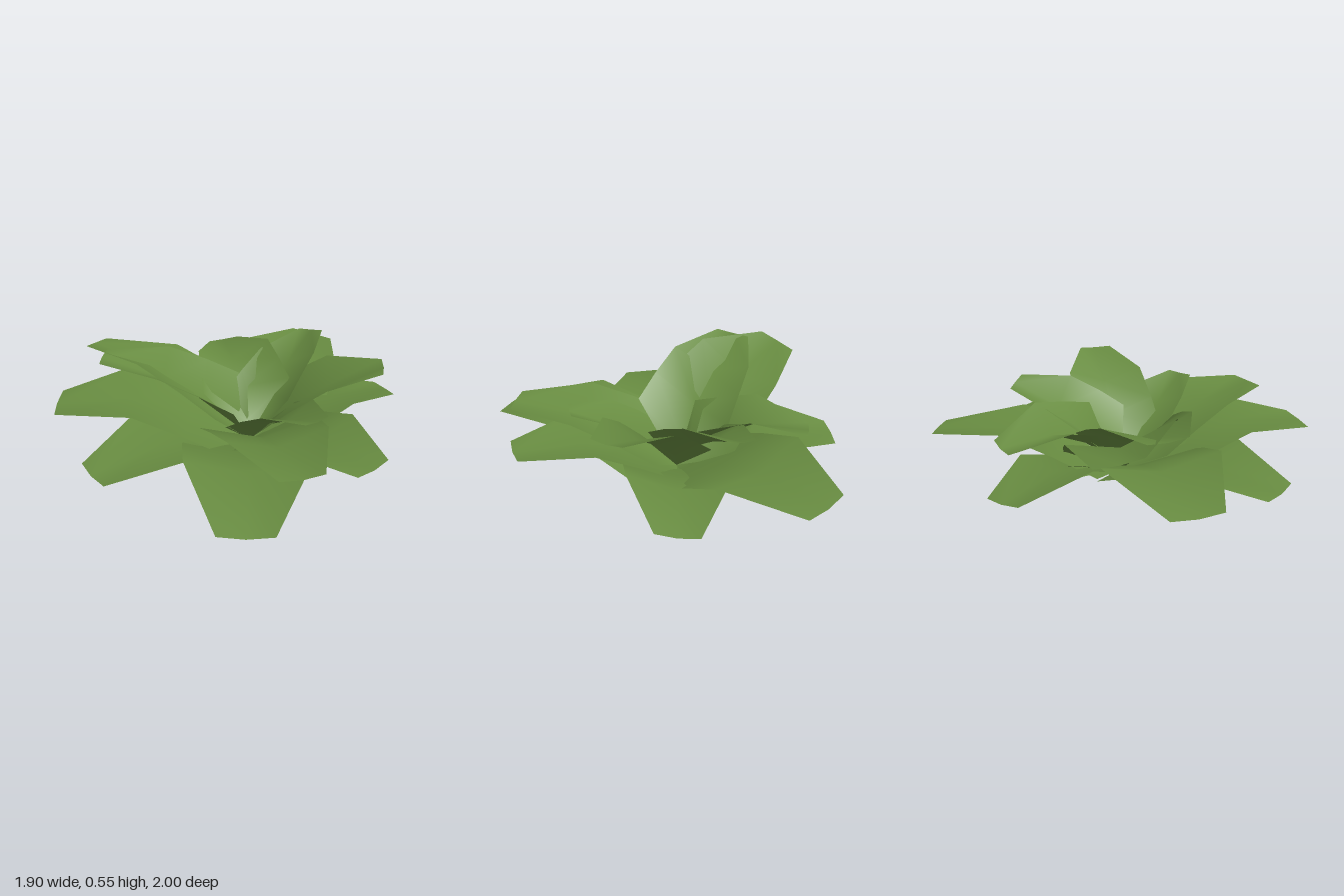
import * as THREE from 'three';

const material = new THREE.MeshStandardMaterial({ color: 0x688c41, side: THREE.DoubleSide });
const CENTRE = { x: -0.03, y: 0.015, z: -0.02 };

// Leaves: tip x, tip z, tip height, height at the middle, height of the base corners, sideways roll
const LEAVES = {
  outerLeaf: [
    [-0.59, -0.94, 0.235, 0.25, 0.09, -0.1],
    [0.16, -0.915, 0.155, 0.19, 0.06, 0.13],
    [0.9, -0.13, 0.275, 0.26, 0.11, 0],
    [-0.95, -0.08, 0.16, 0.2, 0.06, -0.12],
    [-0.66, 0.89, 0.27, 0.3, 0.13, 0],
    [-0.03, 0.995, 0.165, 0.2, 0.1, 0],
    [0.88, 0.65, 0.19, 0.24, 0.1, 0],
  ],
  middleLeaf: [
    [0.86, 0.3, 0.37, 0.31, 0.2, 0],
    [-0.81, 0.55, 0.5, 0.41, 0.24, -0.25],
    [-0.72, -0.3, 0.32, 0.33, 0.34, 0.08],
  ],
  innerLeaf: [
    [-0.54, 0.64, 0.54, 0.42, 0.33, -0.08],
    [-0.24, -0.635, 0.48, 0.36, 0.28, 0.2],
    [0.45, -0.59, 0.525, 0.4, 0.22, 0],
    [0.575, -0.02, 0.435, 0.32, 0.2, 0],
  ],
};

// A cupped blade: pointed base, wide shoulders, tapering to a blunt tip
function leafGeometry([tipX, tipZ, tipY, midY, cornerY, roll]) {
  const dx = tipX - CENTRE.x, dz = tipZ - CENTRE.z;
  const length = Math.hypot(dx, dz);
  const lift = 0.04 + 0.17 * cornerY;
  const baseY = 0.025 + 0.25 * cornerY;
  // Rows: distance of the rib, of the edge, half width (all per length), rib height, edge height
  const rows = [
    [0.09, 0.09, 0.34, baseY, cornerY],
    [0.32, 0.32, 0.32, baseY + (midY - baseY) * 0.58, cornerY + (midY + lift - cornerY) * 0.52],
    [0.59, 0.58, 0.29, midY, midY + lift],
    [1.0, 0.99, 0.125, tipY, tipY + 0.005],
  ];
  const positions = [CENTRE.x, CENTRE.y, CENTRE.z];
  for (const [rib, edge, half, ribY, edgeY] of rows) {
    for (const side of [-1, 0, 1]) {
      const along = side ? edge : rib;
      positions.push(
        CENTRE.x + dx * along - dz * half * side,
        (side ? edgeY : ribY) + roll * side * half * length,
        CENTRE.z + dz * along + dx * half * side
      );
    }
  }
  const index = [0, 2, 1, 0, 3, 2];
  for (let r = 0; r < rows.length - 1; r++) {
    for (let c = 0; c < 2; c++) {
      const a = 1 + r * 3 + c, b = a + 3;
      index.push(a, a + 1, b, a + 1, b + 1, b);
    }
  }
  const geometry = new THREE.BufferGeometry();
  geometry.setAttribute('position', new THREE.Float32BufferAttribute(positions, 3));
  geometry.setIndex(index);
  geometry.computeVertexNormals();
  return geometry;
}

export function createModel() {
  const plant = new THREE.Group();
  plant.name = 'leafRosette';
  for (const [name, leaves] of Object.entries(LEAVES)) {
    leaves.forEach((leaf, i) => {
      const mesh = new THREE.Mesh(leafGeometry(leaf), material);
      mesh.name = name + (i + 1);
      plant.add(mesh);
    });
  }
  return plant;
}
